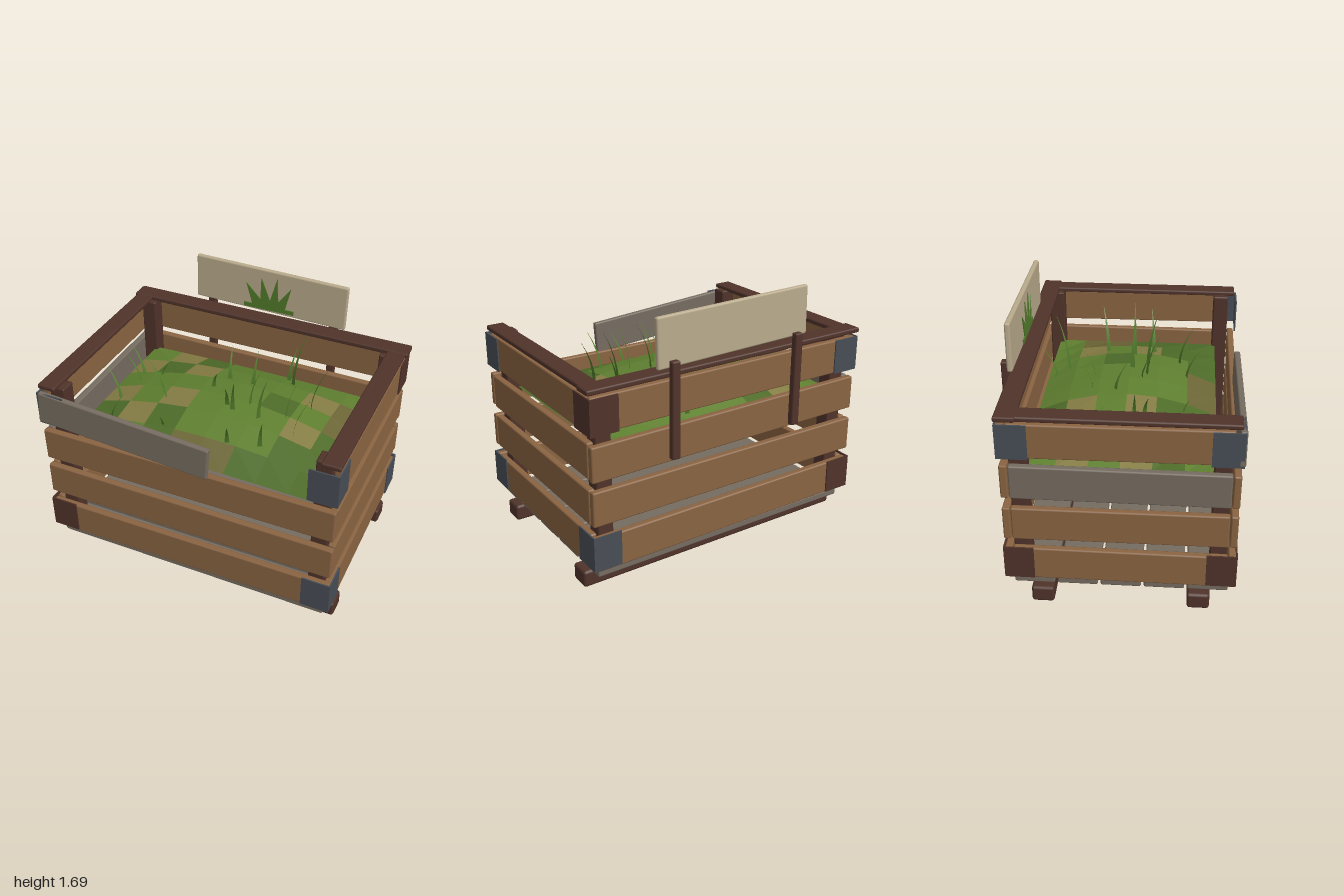
import * as THREE from 'three';
import { RoundedBoxGeometry } from 'three/addons/geometries/RoundedBoxGeometry.js';

const material = (name, color, doubleSided) => {
  const m = new THREE.MeshStandardMaterial({ color });
  m.name = name;
  if (doubleSided) m.side = THREE.DoubleSide;
  return m;
};

export function createModel() {
  const wood = material('plank wood', 0x8a6442);
  const dark = material('dark wood', 0x50332a);
  const grey = material('weathered wood', 0x766c60);
  const metal = material('metal', 0x484e56);
  const board = material('sign board', 0xb9ab8c);
  const grass = material('grass', 0x5f8030, true);
  const deepGrass = material('deep grass', 0x4e6c29, true);
  const dry = material('dry grass', 0x867e45, true);
  const earth = material('earth', 0x6c6636, true);
  const blade = material('grass blade', 0x527c2b, true);

  const model = new THREE.Group();
  model.name = 'planterCrate';

  const add = (name, geometry, mat, parent = model) => {
    const mesh = new THREE.Mesh(geometry, mat);
    mesh.name = name;
    parent.add(mesh);
    return mesh;
  };

  // Chamfered beam given by its extents on each axis
  const beam = (name, mat, [x0, x1], [y0, y1], [z0, z1], r = 0.01) => {
    const geometry = new RoundedBoxGeometry(x1 - x0, y1 - y0, z1 - z0, 1, r);
    const mesh = add(name, geometry, mat);
    mesh.position.set((x0 + x1) / 2, (y0 + y1) / 2, (z0 + z1) / 2);
    return mesh;
  };

  // Skids and floor slats
  for (const z of [0.5, -0.46]) beam('skid', dark, [-0.98, 0.98], [0, 0.11], [z - 0.07, z + 0.07], 0.018);
  for (let i = 0; i < 5; i++) {
    const z = 0.555 - i * 0.267;
    beam('floorSlat', grey, [-0.94, 0.94], [0.12, 0.17], [z - 0.125, z + 0.125]);
  }

  // Corner posts
  for (const x of [-0.875, 0.875]) {
    for (const z of [-0.575, 0.61]) beam('cornerPost', dark, [x - 0.052, x + 0.052], [0.16, 1.31], [z - 0.052, z + 0.052]);
  }

  // Wall planks, each row very slightly crooked
  [0.3, 0.595, 0.885, 1.173].forEach((y, row) => {
    const height = [y - 0.112, y + 0.112];
    const tilt = [0.005, -0.002, 0.006, -0.004][row];
    if (row < 3) beam('frontPlank', wood, [-0.98, 0.98], height, [0.67, 0.715]).rotation.z = tilt;
    beam('backPlank', wood, [-0.98, 0.98], height, [-0.677, -0.63]).rotation.z = -tilt;
    beam('rightPlank', wood, [-0.98, -0.935], height, [-0.625, 0.665]).rotation.x = tilt;
    beam('leftPlank', wood, [0.935, 0.98], height, [-0.625, 0.665]).rotation.x = tilt;
    if (row === 2) model.children.filter((c) => c.name === 'rightPlank')[2].material = grey;
  });
  // Loose plank hanging across the front
  const loose = beam('loosePlank', grey, [-0.985, 0.18], [1.025, 1.245], [0.69, 0.73]);
  loose.rotation.z = -0.07;

  // Corner brackets: two thin plates around each corner, lower and upper
  const corners = [
    [1, 1, metal, metal], [1, -1, metal, dark],
    [-1, 1, dark, metal], [-1, -1, dark, metal],
  ];
  for (const [sx, sz, low, high] of corners) {
    for (const [y, mat] of [[0.31, low], [1.17, high]]) {
      const bracket = new THREE.Group();
      bracket.name = 'cornerBracket';
      const zOuter = sz > 0 ? 0.719 : -0.681;
      const facing = add('bracketFace', new THREE.BoxGeometry(0.18, 0.225, 0.009), mat, bracket);
      facing.position.set(sx * 0.893, y, zOuter);
      const side = add('bracketSide', new THREE.BoxGeometry(0.009, 0.225, 0.184), mat, bracket);
      side.position.set(sx * 0.984, y, zOuter - sz * 0.088);
      model.add(bracket);
    }
  }

  // Top rail on three sides
  beam('backRail', dark, [-1, 1], [1.304, 1.338], [-0.685, -0.56]);
  for (const s of [-1, 1]) {
    const x = s * 0.925;
    beam('sideRail', dark, [x - 0.06, x + 0.06], [1.302, 1.334], [-0.66, 0.705]);
  }

  // Sign with its two stakes and a painted tuft
  for (const x of [-0.452, 0.448]) beam('signStake', dark, [x - 0.028, x + 0.028], [0.8, 1.41], [-0.73, -0.685]);
  const sign = beam('signBoard', board, [-0.545, 0.545], [1.367, 1.68], [-0.68, -0.645], 0.012);
  sign.rotation.z = -0.022;
  const tuft = new THREE.Shape([
    [-0.185, 1.385], [0.178, 1.385], [0.178, 1.415], [0.115, 1.415], [0.155, 1.58], [0.065, 1.46],
    [0.055, 1.635], [0.005, 1.46], [-0.06, 1.62], [-0.065, 1.46], [-0.17, 1.565], [-0.125, 1.415], [-0.185, 1.415],
  ].map(([x, y]) => new THREE.Vector2(x, y)));
  const tuftGeometry = new THREE.ExtrudeGeometry(tuft, { depth: 0.006, bevelEnabled: false });
  add('paintedTuft', tuftGeometry, blade).position.z = -0.645;

  // Turf: a low mound of coloured square tiles
  const mound = (x, z) => 0.92 + 0.165 * (1 - (x / 0.86) ** 2) * (1 - ((z - 0.01) / 0.6) ** 2);
  const turfMap = ['gdbggggg', 'dbdgggde', 'gggggbge', 'dgdgggdb', 'bdbgggbb', 'ggbeebbb'];
  const kinds = { g: grass, b: deepGrass, d: dry, e: earth };
  const dx = 0.2125, dz = 0.19;
  for (const [key, mat] of Object.entries(kinds)) {
    const points = [];
    turfMap.forEach((line, j) => [...line].forEach((cell, i) => {
      if (cell !== key) return;
      const x0 = -0.85 + i * dx, z0 = -0.56 + j * dz;
      const corner = (a, b) => [x0 + a * dx, mound(x0 + a * dx, z0 + b * dz), z0 + b * dz];
      const [p, q, r, s] = [corner(0, 0), corner(0, 1), corner(1, 1), corner(1, 0)];
      points.push(...p, ...q, ...r, ...p, ...r, ...s);
    }));
    const geometry = new THREE.BufferGeometry();
    geometry.setAttribute('position', new THREE.Float32BufferAttribute(points, 3));
    geometry.computeVertexNormals();
    add('turf', geometry, mat);
  }

  // Grass blades: curved ribbons tapering to a point [x, z, height, lean direction]
  const bladeGeometry = (height, lean) => {
    const geometry = new THREE.PlaneGeometry(1, 1, 1, 4);
    const p = geometry.attributes.position;
    for (let i = 0; i < p.count; i++) {
      const t = p.getY(i) + 0.5;
      p.setXYZ(i, p.getX(i) * 0.034 * (1 - 0.95 * t), t * height, lean * t * t);
    }
    geometry.computeVertexNormals();
    return geometry;
  };
  const blades = [
    [-0.72, -0.15, 0.2, 4.5], [-0.58, -0.15, 0.14, 1.2], [-0.7, -0.06, 0.18, 4.7], [-0.45, 0.07, 0.22, 4.8],
    [-0.74, 0.15, 0.2, 4.5], [-0.4, 0.13, 0.16, 5], [-0.68, 0.38, 0.16, 2.4], [-0.3, 0.37, 0.15, 5.8],
    [-0.1, -0.22, 0.2, 3.4], [-0.15, -0.07, 0.16, 0.7], [0.02, 0.09, 0.18, 0.3], [0.07, 0.12, 0.26, 0.5],
    [0.22, -0.5, 0.2, 3], [0.28, -0.42, 0.36, 2.6], [0.07, -0.22, 0.2, 3.2], [0.5, -0.17, 0.3, 2],
    [0.15, 0.02, 0.31, 1.4], [0.4, 0.02, 0.34, 1.6], [0.25, 0.12, 0.33, 0.9], [0.5, 0.15, 0.28, 1.8],
    [0.35, 0.33, 0.24, 0.5], [0.15, 0.38, 0.18, 0.4],
  ];
  for (const [x, z, height, direction] of blades) {
    const b = add('grassBlade', bladeGeometry(height + 0.02, 0.1), blade);
    b.position.set(x, mound(x, z) - 0.02, z);
    b.rotation.y = direction;
  }

  return model;
}
